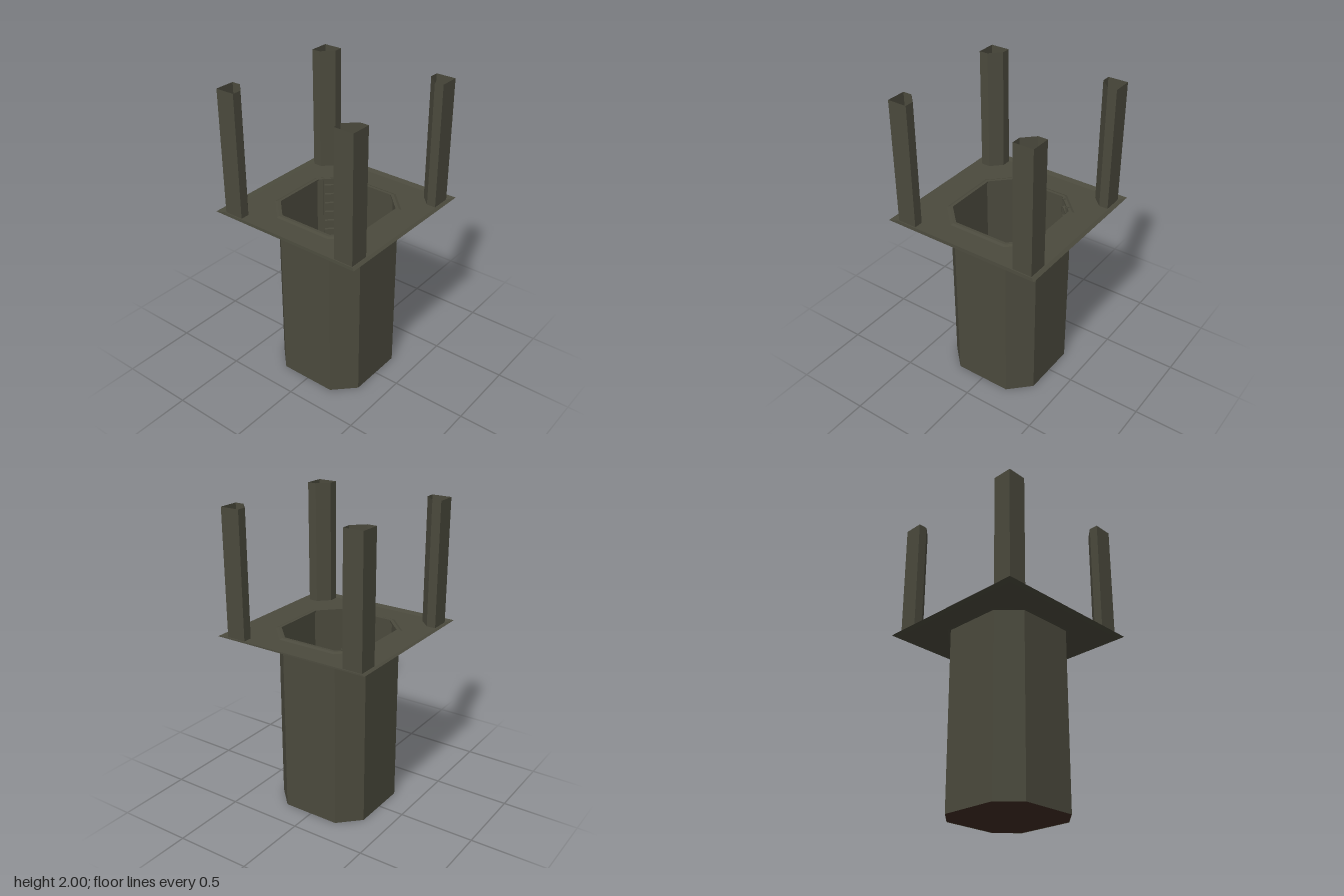
import * as THREE from 'three';

const olive = new THREE.MeshStandardMaterial({ name: 'olive metal', color: 0x4b4a3d, side: THREE.DoubleSide });
const brown = new THREE.MeshStandardMaterial({ name: 'dark brown floor', color: 0x402d23, side: THREE.DoubleSide });

// Octagon with flat sides at distance r and chamfers starting at c
const octagon = (r, c) => [[r, -c], [r, c], [c, r], [-c, r], [-r, c], [-r, -c], [-c, -r], [c, -r]];
const square = (r) => [[r, -r], [r, r], [-r, r], [-r, -r]];

// Flat-sided skin through cross-sections, each { y, pts: [[x, z], ...] }
function loft(sections) {
  const pos = [];
  for (let s = 0; s + 1 < sections.length; s++) {
    const a = sections[s], b = sections[s + 1], n = a.pts.length;
    for (let i = 0; i < n; i++) {
      const j = (i + 1) % n;
      const p = [a.pts[i][0], a.y, a.pts[i][1]], q = [a.pts[j][0], a.y, a.pts[j][1]];
      const u = [b.pts[i][0], b.y, b.pts[i][1]], v = [b.pts[j][0], b.y, b.pts[j][1]];
      pos.push(...p, ...u, ...q, ...q, ...u, ...v);
    }
  }
  const g = new THREE.BufferGeometry();
  g.setAttribute('position', new THREE.Float32BufferAttribute(pos, 3));
  g.computeVertexNormals();
  return g;
}

// Flat horizontal sheet facing up, with an optional hole
function sheet(pts, y, hole) {
  const toVec = (list) => list.map(([x, z]) => new THREE.Vector2(x, -z));
  const shape = new THREE.Shape(toVec(pts));
  if (hole) shape.holes.push(new THREE.Path(toVec(hole)));
  return new THREE.ShapeGeometry(shape).rotateX(-Math.PI / 2).translate(0, y, 0);
}

export function createModel() {
  const model = new THREE.Group();
  model.name = 'shaft';
  const add = (name, geometry, material = olive, parent = model) => {
    const mesh = new THREE.Mesh(geometry, material);
    mesh.name = name;
    parent.add(mesh);
    return mesh;
  };

  // Octagonal shaft and its floor
  const wall = octagon(0.326, 0.193);
  add('shaftWall', loft([{ y: 0, pts: wall }, { y: 1.193, pts: wall }]));
  add('shaftFloor', sheet(octagon(0.325, 0.192), 0.002), brown);

  // Square deck with an upturned edge
  const deckY = 1.19;
  add('deck', sheet(square(0.497), deckY, octagon(0.347, 0.2)));
  add('deckEdge', loft([{ y: deckY, pts: square(0.497) }, { y: 1.2, pts: square(0.533) }].reverse()));

  // Raised rim around the opening
  add('openingRim', loft([
    { y: deckY, pts: octagon(0.347, 0.2) },
    { y: 1.197, pts: octagon(0.33, 0.194) },
    { y: 1.197, pts: octagon(0.311, 0.186) },
    { y: 1.185, pts: octagon(0.311, 0.186) },
  ]));

  // Hollow corner posts, chamfered toward the middle
  const lo = 0.36, hi = 0.49, cut = 0.07;
  const profile = [[lo + cut, lo], [hi, lo], [hi, hi], [lo, hi], [lo, lo + cut]];
  const post = loft([{ y: deckY, pts: profile }, { y: 2, pts: profile }]);
  for (let i = 0; i < 4; i++) {
    add('cornerPost' + (i + 1), post).rotation.y = i * Math.PI / 2;
  }

  // Ladder on the back diagonal wall
  const ladder = new THREE.Group();
  ladder.name = 'ladder';
  ladder.rotation.y = Math.PI / 4;
  model.add(ladder);
  const depth = 0.024, z = -0.354;
  for (const side of [-1, 1]) {
    const rail = add('ladderRail', new THREE.BoxGeometry(0.006, 1.2, depth), olive, ladder);
    rail.position.set(side * 0.05, 0.605, z);
  }
  const rung = new THREE.BoxGeometry(0.1, 0.008, depth * 0.8);
  for (let y = 0.06; y < 1.18; y += 0.068) {
    add('ladderRung', rung, olive, ladder).position.set(0, y, z);
  }

  return model;
}
